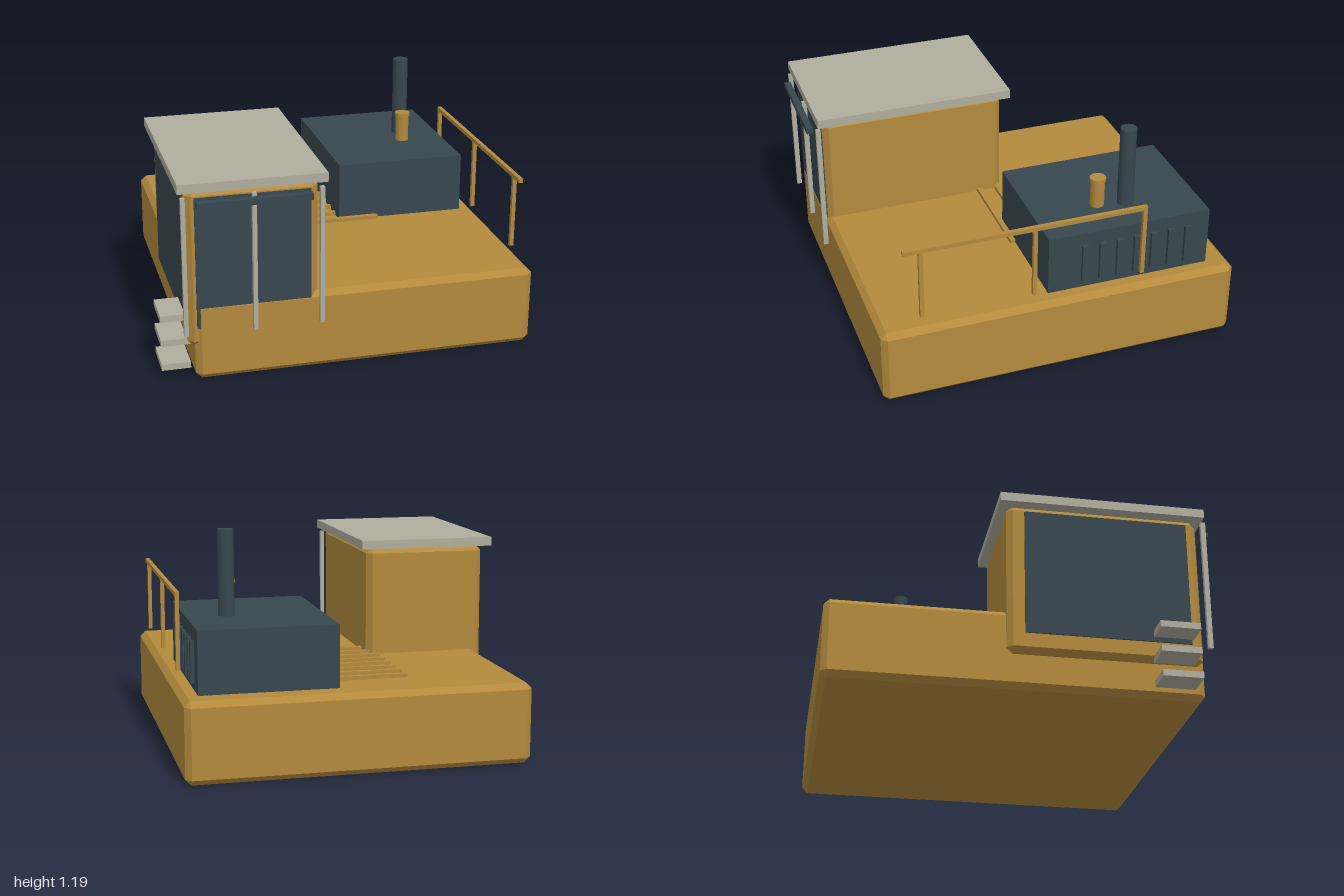
import * as THREE from 'three';
import { ConvexGeometry } from 'three/addons/geometries/ConvexGeometry.js';

const ochre = new THREE.MeshStandardMaterial({ name: 'ochre paint', color: 0xb38a3c });
const slate = new THREE.MeshStandardMaterial({ name: 'dark slate', color: 0x37474f });
const stone = new THREE.MeshStandardMaterial({ name: 'warm grey', color: 0xb0ae9e });

export function createModel() {
  const model = new THREE.Group();
  model.name = 'machineHouse';

  const add = (name, geometry, material) => {
    const mesh = new THREE.Mesh(geometry, material);
    mesh.name = name;
    model.add(mesh);
    return mesh;
  };

  // Box given by its limits on each axis
  const box = (name, material, [x0, x1], [y0, y1], [z0, z1]) => {
    const mesh = add(name, new THREE.BoxGeometry(x1 - x0, y1 - y0, z1 - z0), material);
    mesh.position.set((x0 + x1) / 2, (y0 + y1) / 2, (z0 + z1) / 2);
    return mesh;
  };

  // Box with every edge cut by a flat chamfer
  const chamferBox = (name, material, xs, ys, zs, c) => {
    const points = [];
    const mid = [xs, ys, zs].map(([a, b]) => (a + b) / 2);
    const half = [xs, ys, zs].map(([a, b]) => (b - a) / 2);
    for (const sx of [-1, 1]) for (const sy of [-1, 1]) for (const sz of [-1, 1]) {
      for (let face = 0; face < 3; face++) {
        const p = [sx, sy, sz].map((s, i) => s * (half[i] - (i === face ? 0 : c)));
        points.push(new THREE.Vector3(...p));
      }
    }
    add(name, new ConvexGeometry(points), material).position.set(...mid);
  };

  const pipe = (name, material, r, x, z, y0, y1, sides = 16) => {
    const mesh = add(name, new THREE.CylinderGeometry(r, r, y1 - y0, sides), material);
    mesh.position.set(x, (y0 + y1) / 2, z);
  };

  // Main body and cab
  chamferBox('body', ochre, [-0.81, 0.97], [0, 0.42], [-1, 0.93], 0.03);
  chamferBox('cab', ochre, [-0.845, -0.18], [0.18, 1.012], [-0.09, 0.92], 0.03);
  box('cabRoof', stone, [-0.885, -0.14], [1.012, 1.06], [-0.13, 0.955]);

  // Cab glazing, bars and visor
  box('frontWindow', slate, [-0.8, -0.22], [0.285, 0.975], [0.919, 0.928]);
  box('sideWindow', slate, [-0.852, -0.844], [0.285, 0.975], [0, 0.86]);
  box('frontVisor', slate, [-0.8, -0.225], [0.943, 0.975], [0.965, 1]);
  for (const x of [-0.86, -0.51, -0.17]) {
    box('windowBar', stone, [x - 0.011, x + 0.011], [0.264, 0.99], [0.937, 0.963]);
  }

  // Cab steps
  for (const y of [0.045, 0.178, 0.311]) {
    box('cabStep', stone, [-0.977, -0.828], [y, y + 0.034], [0.66, 0.868]);
  }

  // Engine house with side louvres
  box('engineHouse', slate, [0.172, 0.885], [0.415, 0.745], [-0.868, 0.024]);
  for (let i = 0; i < 7; i++) {
    const z = -0.173 - i * 0.0953;
    box('louvre', slate, [0.88, 0.905], [0.46, 0.675], [z - 0.017, z + 0.017]);
  }

  // Exhaust stack and capped filler pipe
  pipe('exhaust', slate, 0.043, 0.675, -0.48, 0.74, 1.19);
  pipe('fillerPipe', ochre, 0.038, 0.646, -0.333, 0.74, 0.9, 12);
  pipe('fillerCap', ochre, 0.043, 0.646, -0.333, 0.893, 0.91);

  // Deck slats
  for (let i = 0; i < 8; i++) {
    const z = -0.692 + i * 0.1045;
    box('deckSlat', ochre, [-0.23, 0.39], [0.418, 0.44], [z - 0.014, z + 0.014]);
  }

  // Handrail
  box('handrail', ochre, [0.917, 0.94], [0.853, 0.875], [-0.487, 0.8]);
  for (const z of [0.71, 0.116, -0.476]) {
    box('handrailPost', ochre, [0.918, 0.939], [0.47, 0.86], [z - 0.011, z + 0.011]);
  }

  return model;
}
